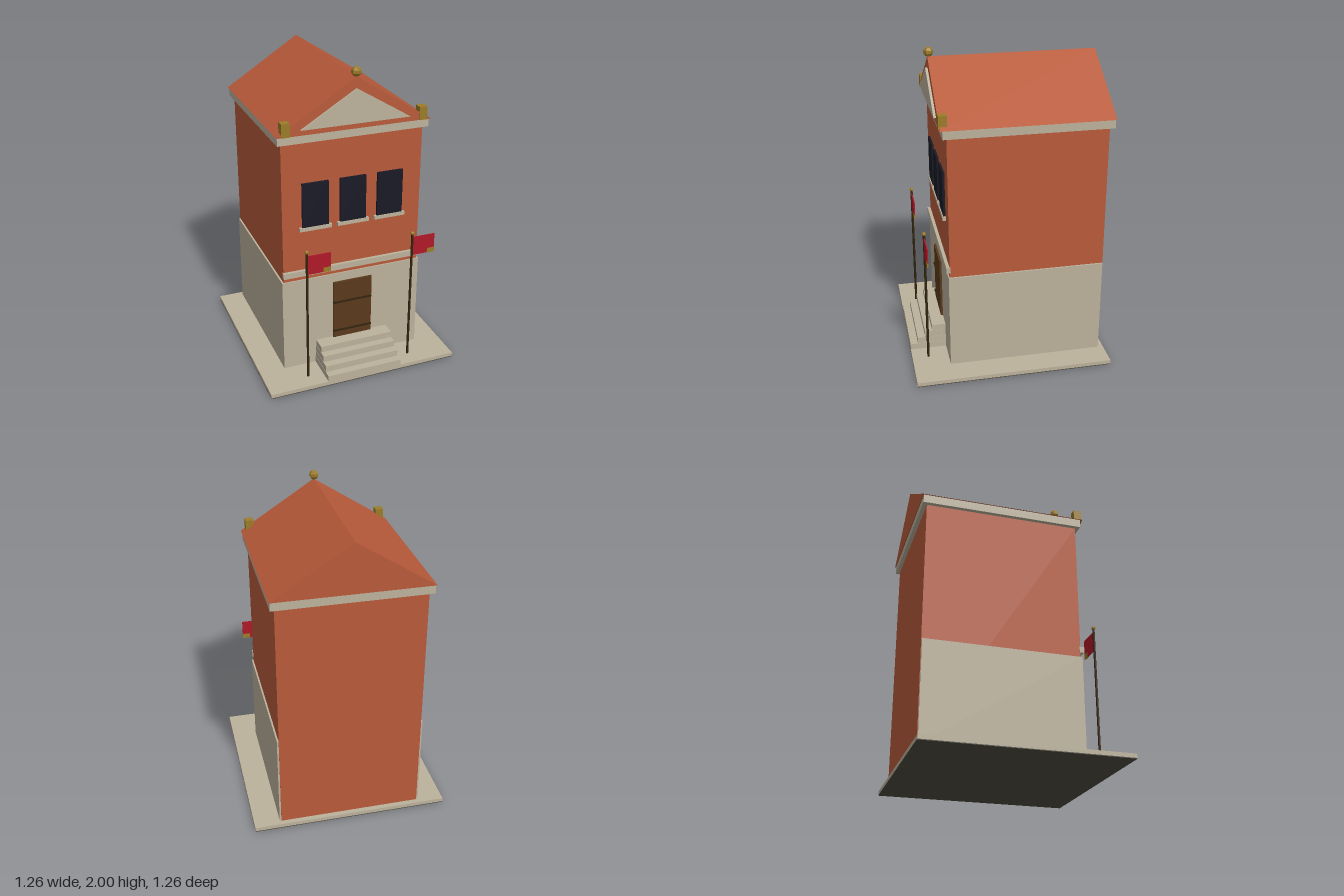
import * as THREE from 'three';

const mat = (name, color, extra = {}) => {
  const m = new THREE.MeshStandardMaterial({ color, ...extra });
  m.name = name;
  return m;
};

export function createModel() {
  const brick = mat('brick', 0xb85a3a);
  const stone = mat('stone', 0xbcb29c);
  const underside = mat('darkUnderside', 0x504b41);
  const glass = mat('darkGlass', 0x1a1a26);
  const wood = mat('doorWood', 0x5a3a1c);
  const dark = mat('darkBrown', 0x33240f);
  const gold = mat('gold', 0x9c7c28, { flatShading: true });
  const red = mat('flagRed', 0xb01828);

  const model = new THREE.Group();
  model.name = 'townHouse';

  const add = (name, geometry, material, parent = model) => {
    const mesh = new THREE.Mesh(geometry, material);
    mesh.name = name;
    parent.add(mesh);
    return mesh;
  };
  // Box given by its extents on each axis
  const box = (name, material, [x0, x1], [y0, y1], [z0, z1], parent) => {
    const mesh = add(name, new THREE.BoxGeometry(x1 - x0, y1 - y0, z1 - z0), material, parent);
    mesh.position.set((x0 + x1) / 2, (y0 + y1) / 2, (z0 + z1) / 2);
    return mesh;
  };
  // Triangular prism along z
  const prism = (name, material, halfWidth, y0, y1, z0, z1) => {
    const shape = new THREE.Shape([
      new THREE.Vector2(-halfWidth, y0),
      new THREE.Vector2(halfWidth, y0),
      new THREE.Vector2(0, y1),
    ]);
    const geometry = new THREE.ExtrudeGeometry(shape, { depth: z1 - z0, bevelEnabled: false });
    geometry.translate(0, 0, z0);
    return add(name, geometry, material);
  };

  // Ground slab on a thin dark plate, walls and stone ground floor
  box('slabUnderside', underside, [-0.63, 0.63], [0, 0.005], [-0.63, 0.63]);
  box('baseSlab', stone, [-0.63, 0.63], [0.005, 0.03], [-0.63, 0.63]);
  box('brickWalls', brick, [-0.455, 0.455], [0.03, 1.575], [-0.598, 0.386]);
  box('stoneGroundFloor', stone, [-0.466, 0.466], [0.03, 0.66], [-0.595, 0.394]);
  box('stoneBand', stone, [-0.46, 0.46], [0.692, 0.73], [0.38, 0.407]);

  // Windows with sills
  for (const x of [-0.245, 0, 0.245]) {
    box('window', glass, [x - 0.085, x + 0.085], [1.02, 1.31], [0.38, 0.4]);
    box('windowSill', stone, [x - 0.104, x + 0.104], [0.999, 1.022], [0.38, 0.406]);
  }

  // Door with two crossbars
  box('door', wood, [-0.131, 0.131], [0.195, 0.602], [0.385, 0.408]);
  for (const y of [0.247, 0.458]) {
    box('doorBar', dark, [-0.131, 0.131], [y - 0.006, y + 0.006], [0.4, 0.415]);
  }

  // Front steps, narrowing slightly upwards
  [0.63, 0.581, 0.531, 0.483].forEach((z, i) => {
    const w = 0.251 - i * 0.002;
    box('step', stone, [-w, w], [i ? 0.028 + i * 0.042 : 0.03, 0.07 + i * 0.042], [0.39, z]);
  });

  // Cornice, gable roof and pediment panel
  box('cornice', stone, [-0.482, 0.482], [1.573, 1.627], [-0.624, 0.412]);
  prism('roof', brick, 0.489, 1.627, 1.941, -0.63, 0.427);
  prism('pedimentPanel', stone, 0.345, 1.662, 1.872, 0.42, 0.442);

  // Roof ornaments
  for (const s of [-1, 1]) {
    box('cornerBlock', gold, [s * 0.435 - 0.026, s * 0.435 + 0.026], [1.627, 1.71], [0.38, 0.432]);
  }
  const finial = add('roofFinial', new THREE.SphereGeometry(0.031, 6, 5), gold);
  finial.rotation.y = Math.PI / 6;
  finial.position.set(0, 1.969, 0.42);

  // Flagpoles, both flags flying towards +x
  for (const x of [-0.35, 0.35]) {
    const flagpole = new THREE.Group();
    flagpole.name = 'flagpole';
    flagpole.position.set(x, 0, 0.525);
    model.add(flagpole);
    add('pole', new THREE.CylinderGeometry(0.008, 0.008, 0.89, 8), dark, flagpole).position.y = 0.475;
    add('poleBall', new THREE.SphereGeometry(0.013, 8, 6), gold, flagpole).position.y = 0.923;
    box('flag', red, [0, 0.153], [0.77, 0.895], [-0.004, 0.004], flagpole);
    box('flagPatch', gold, [0.104, 0.154], [0.769, 0.801], [-0.0049, 0.0049], flagpole);
  }

  return model;
}
